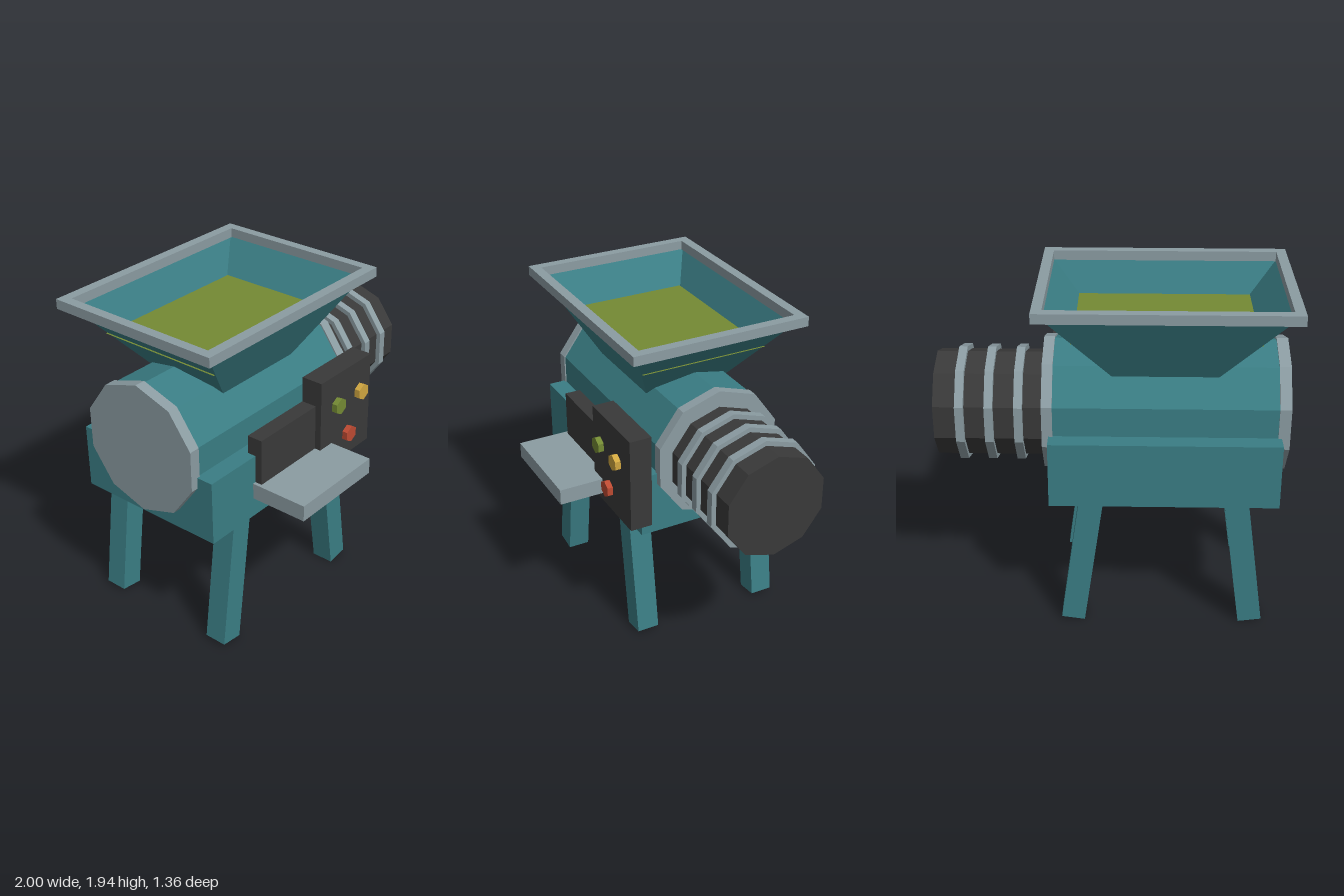
import * as THREE from 'three';

const mat = (name, color, extra = {}) => {
  const m = new THREE.MeshStandardMaterial({ color, flatShading: true, ...extra });
  m.name = name;
  return m;
};

export function createModel() {
  const model = new THREE.Group();
  model.name = 'hopperMachine';
  const teal = mat('teal', 0x3a7d84);
  const tealSheet = mat('tealSheet', 0x3a7d84, { side: THREE.DoubleSide });
  const steel = mat('steel', 0x8b9ca2);
  const dark = mat('charcoal', 0x393939);
  const olive = mat('olive', 0x748a34);
  const yellow = mat('yellow', 0xd0a640);
  const red = mat('red', 0xbd4a32);

  const CX = -0.29, CZ = -0.14; // centre of the body in plan

  const add = (name, geo, material, x = 0, y = 0, z = 0) => {
    const mesh = new THREE.Mesh(geo, material);
    mesh.name = name;
    mesh.position.set(x, y, z);
    model.add(mesh);
    return mesh;
  };
  // Box given by its limits on each axis
  const block = (name, material, x0, x1, y0, y1, z0, z1) =>
    add(name, new THREE.BoxGeometry(x1 - x0, y1 - y0, z1 - z0), material,
      (x0 + x1) / 2, (y0 + y1) / 2, (z0 + z1) / 2);
  // Ten-sided drum lying along x, with a corner at the top
  const drum = (name, material, r, x0, x1, y) => {
    const geo = new THREE.CylinderGeometry(r, r, x1 - x0, 10);
    geo.rotateY(Math.PI / 2).rotateZ(Math.PI / 2);
    return add(name, geo, material, (x0 + x1) / 2, y, CZ);
  };

  // Body
  block('base', teal, -0.935, 0.353, 0.77, 1.153, -0.612, 0.332);
  drum('barrel', teal, 0.383, -0.95, 0.36, 1.206);
  drum('rightFlange', steel, 0.391, -0.98, -0.915, 1.208);
  drum('leftFlange', steel, 0.391, 0.33, 0.39, 1.208);

  // Motor with cooling bands
  drum('motor', dark, 0.309, 0.35, 1.0, 1.194);
  for (const x of [0.523, 0.687, 0.85]) drum('motorBand', steel, 0.338, x - 0.024, x + 0.024, 1.194);

  // Splayed legs
  const tilt = 0.137, legLength = 0.84;
  for (const sx of [-1, 1]) {
    for (const sz of [-1, 1]) {
      const geo = new THREE.BoxGeometry(0.135, legLength, 0.135);
      geo.translate(0, legLength / 2, 0);
      const leg = add('leg', geo, teal, CX + sx * 0.515, 0.009, CZ + sz * 0.404);
      leg.rotation.z = sx * tilt;
    }
  }

  // Hopper: open four-sided funnel
  const yLow = 1.47, yHigh = 1.887;
  const low = [0.295, 0.258], high = [0.65, 0.49];
  const funnel = new THREE.CylinderGeometry(Math.SQRT2, Math.SQRT2, yHigh - yLow, 4, 1, true);
  funnel.rotateY(Math.PI / 4);
  const p = funnel.attributes.position;
  for (let i = 0; i < p.count; i++) {
    const half = p.getY(i) > 0 ? high : low;
    p.setX(i, Math.sign(p.getX(i)) * half[0]);
    p.setZ(i, Math.sign(p.getZ(i)) * half[1]);
  }
  funnel.computeVertexNormals();
  add('hopper', funnel, tealSheet, CX, (yLow + yHigh) / 2, CZ);

  // Hopper rim frame
  const rect = (Path, w, d) => new Path([[-w, -d], [w, -d], [w, d], [-w, d]]
    .map(([x, y]) => new THREE.Vector2(x, y)));
  const frame = rect(THREE.Shape, 0.7075, 0.541);
  frame.holes.push(rect(THREE.Path, 0.65, 0.482));
  const rim = new THREE.ExtrudeGeometry(frame, { depth: 0.057, bevelEnabled: false });
  rim.rotateX(-Math.PI / 2);
  add('hopperRim', rim, steel, CX, 1.885, CZ);

  // Fill surface inside the hopper
  const fill = new THREE.PlaneGeometry(1.025, 0.778);
  fill.rotateX(-Math.PI / 2);
  add('hopperContents', fill, olive, CX, 1.712, CZ);

  // Outlet and tray on the front
  block('outlet', dark, -0.577, -0.08, 0.96, 1.262, 0.28, 0.375);
  block('tray', steel, -0.598, 0.013, 0.888, 0.984, 0.33, 0.682);

  // Control panel with hexagonal buttons
  block('controlPanel', dark, -0.095, 0.38, 0.84, 1.417, 0.28, 0.413);
  for (const [name, material, x, y] of [
    ['greenButton', olive, 0.033, 1.235],
    ['yellowButton', yellow, 0.252, 1.235],
    ['redButton', red, 0.142, 1.003],
  ]) {
    const geo = new THREE.CylinderGeometry(0.05, 0.05, 0.034, 6);
    geo.rotateX(Math.PI / 2);
    add(name, geo, material, x, y, 0.445);
  }

  return model;
}
